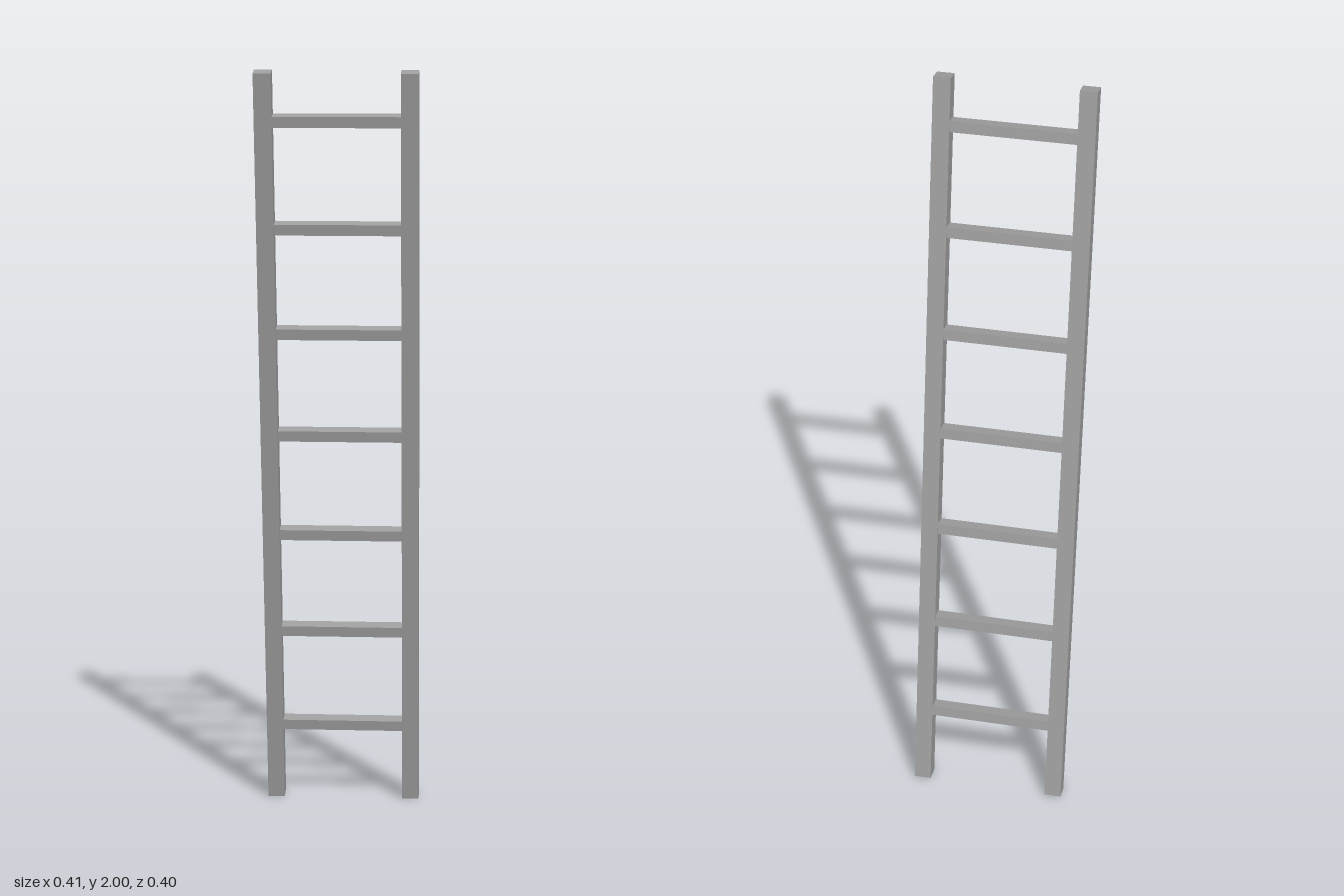
import * as THREE from 'three';

export function createModel() {
  const model = new THREE.Group();
  model.name = 'ladder';
  const grey = new THREE.MeshStandardMaterial({ color: 0xa0a0a0 });
  grey.name = 'grey';

  // Everything is built upright, then leaned as one frame
  const frame = new THREE.Group();
  frame.name = 'leaningFrame';
  frame.position.y = 1;
  frame.rotation.x = THREE.MathUtils.degToRad(10);
  model.add(frame);

  function addBox(name, size, x, y, z) {
    const mesh = new THREE.Mesh(new THREE.BoxGeometry(...size), grey);
    mesh.name = name;
    mesh.position.set(x, y, z);
    frame.add(mesh);
  }

  // Side rails
  const length = 2.023, railWidth = 0.045, railX = 0.1845;
  addBox('leftRail', [railWidth, length, railWidth], railX, 0, 0);
  addBox('rightRail', [railWidth, length, railWidth], -railX, 0, 0);

  // Seven evenly spaced rungs between the rails
  const rungLength = 2 * railX - railWidth;
  for (let i = 0; i < 7; i++) {
    addBox(`rung${i + 1}`, [rungLength, 0.0285, 0.037], 0, -0.794 + i * 0.28, -0.002);
  }
  return model;
}
